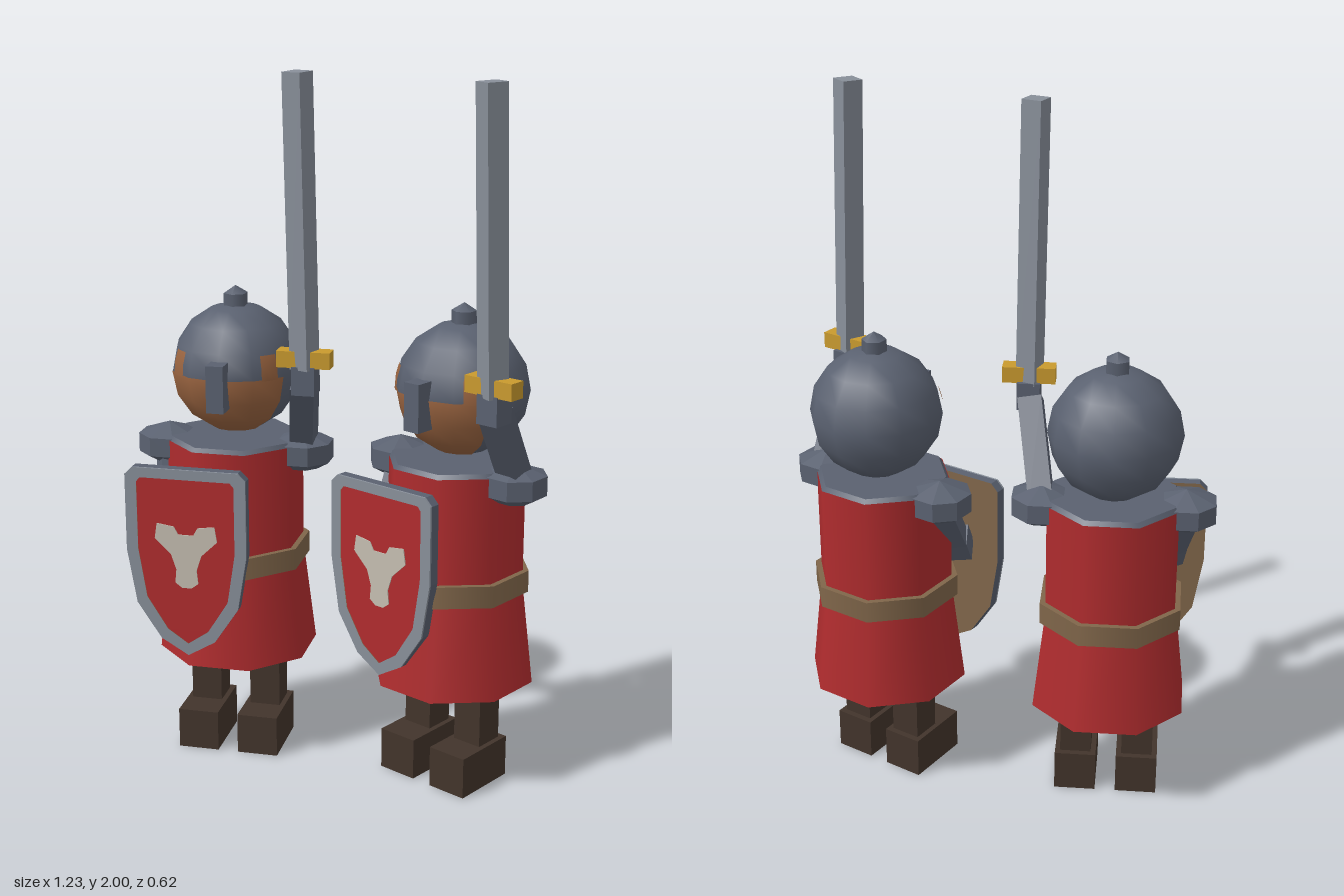
import * as THREE from 'three';

const mat = (name, color, side = THREE.FrontSide) => {
  const m = new THREE.MeshStandardMaterial({ color, side });
  m.name = name;
  return m;
};
const steel = mat('dark steel', 0x5a6170);
const bright = mat('bright steel', 0x888f99);
const red = mat('red cloth', 0xb02c2e, THREE.DoubleSide);
const leather = mat('dark leather', 0x42342b);
const tan = mat('tan leather', 0x80664a);
const skin = mat('skin', 0x9a6440);
const gold = mat('gold', 0xc99a2e);
const pale = mat('pale emblem', 0xc4bdb0);

const V = (x, y, z) => new THREE.Vector3(x, y, z);

function add(parent, name, geometry, material, x = 0, y = 0, z = 0) {
  const mesh = new THREE.Mesh(geometry, material);
  mesh.name = name;
  mesh.position.set(x, y, z);
  parent.add(mesh);
  return mesh;
}

const box = (parent, name, material, w, h, d, x, y, z) =>
  add(parent, name, new THREE.BoxGeometry(w, h, d), material, x, y, z);

// Box stretched from point a to point b
function bar(parent, name, material, a, b, w, d) {
  const dir = b.clone().sub(a);
  const mesh = box(parent, name, material, w, dir.length(), d, 0, 0, 0);
  mesh.position.copy(a).add(b).multiplyScalar(0.5);
  mesh.quaternion.setFromUnitVectors(V(0, 1, 0), dir.normalize());
  return mesh;
}

// Eight-sided tube with a flat side to the front
const octagon = (top, bottom, y0, y1, open) =>
  new THREE.CylinderGeometry(top, bottom, y1 - y0, 8, 1, open, Math.PI / 8).translate(0, (y0 + y1) / 2, 0);

// Symmetric outline from its right half, listed top to bottom
function mirrored(half) {
  const left = half.filter(([x]) => x > 0).map(([x, y]) => [-x, y]).reverse();
  return new THREE.Shape([...half, ...left].map(([x, y]) => new THREE.Vector2(x, y)));
}
const plate = (shape, depth) => new THREE.ExtrudeGeometry(shape, { depth, bevelEnabled: false });

function buildHead(knight) {
  const head = new THREE.Group();
  head.name = 'head';
  head.position.set(0, 1.143, -0.022);
  knight.add(head);
  const R = 0.187, deg = Math.PI / 180;
  add(head, 'helmet', new THREE.SphereGeometry(R, 12, 8), steel);
  // Face below the helmet edge, with narrow openings at both cheeks
  add(head, 'face', new THREE.SphereGeometry(R + 0.002, 4, 4, 30 * deg, 120 * deg, 90 * deg, 90 * deg), skin);
  for (const phi of [36, 128])
    add(head, 'cheek', new THREE.SphereGeometry(R + 0.001, 1, 1, phi * deg, 16 * deg, 69 * deg, 22 * deg), skin);
  box(head, 'noseGuard', steel, 0.05, 0.135, 0.06, 0, -0.015, 0.195);
  add(head, 'helmetKnob', new THREE.CylinderGeometry(0.035, 0.035, 0.06, 6), steel, 0, 0.185, 0);
  add(head, 'knobTip', new THREE.ConeGeometry(0.035, 0.022, 6), steel, 0, 0.226, 0);
}

function buildShield(knight) {
  const shield = new THREE.Group();
  shield.name = 'shield';
  shield.position.set(-0.086, 0, 0.193);
  knight.add(shield);
  const outer = mirrored([[0.155, 0.897], [0.177, 0.875], [0.177, 0.65], [0.15, 0.49], [0.08, 0.385], [0, 0.338]]);
  const inner = mirrored([[0.132, 0.868], [0.143, 0.855], [0.143, 0.655], [0.12, 0.51], [0.06, 0.415], [0, 0.374]]);
  const emblem = mirrored([[0.022, 0.705], [0.035, 0.728], [0.085, 0.735], [0.092, 0.69], [0.045, 0.645],
    [0.03, 0.6], [0.034, 0.56], [0.014, 0.545]]);
  add(shield, 'shieldBody', plate(outer, 0.028), [tan, steel]);
  const rim = outer.clone();
  rim.holes.push(new THREE.Path(inner.getPoints()));
  add(shield, 'shieldRim', plate(rim, 0.006), bright, 0, 0, 0.028);
  add(shield, 'shieldField', plate(inner, 0.004), red, 0, 0, 0.028);
  add(shield, 'shieldEmblem', plate(emblem, 0.003), pale, 0, 0, 0.032);
}

function buildSword(knight) {
  const sword = new THREE.Group();
  sword.name = 'sword';
  knight.add(sword);
  const blade = bar(sword, 'blade', bright, V(0.252, 1.2, 0.18), V(0.242, 2, 0.202), 0.058, 0.06);
  blade.rotateY(-0.38);
  box(sword, 'crossGuard', gold, 0.15, 0.046, 0.05, 0.253, 1.228, 0.18);
}

function createKnight(x, z, yaw) {
  const knight = new THREE.Group();
  knight.name = 'knight';
  knight.position.set(x, 0, z);
  knight.rotation.y = yaw;

  // Tunic
  add(knight, 'tunicSkirt', octagon(0.197, 0.233, 0.3, 0.6, true), red);
  add(knight, 'tunicTop', octagon(0.197, 0.197, 0.6, 0.937, true), red);
  add(knight, 'belt', octagon(0.214, 0.214, 0.572, 0.635, false), tan);
  add(knight, 'collar', octagon(0.185, 0.197, 0.932, 0.948, false), steel);

  // Legs, feet and shoulder pads
  const padProfile = [[0, 0.85], [0.05, 0.862], [0.09, 0.885], [0.09, 0.94], [0, 0.972]]
    .map(([r, y]) => new THREE.Vector2(r, y));
  for (const s of [-1, 1]) {
    box(knight, 'leg', leather, 0.09, 0.45, 0.09, s * 0.09, 0.325, 0);
    box(knight, 'foot', leather, 0.12, 0.12, 0.2, s * 0.09, 0.06, 0.037);
    const pad = add(knight, 'shoulderPad', new THREE.LatheGeometry(padProfile, 8, Math.PI / 8).toNonIndexed(), steel, s * 0.2, 0, 0);
    pad.geometry.computeVertexNormals();
  }

  // Raised sword arm and lowered shield arm
  bar(knight, 'swordArm', steel, V(0.2, 0.91, -0.01), V(0.248, 1.155, 0.165), 0.068, 0.068);
  box(knight, 'swordHand', steel, 0.065, 0.08, 0.065, 0.253, 1.168, 0.175);
  bar(knight, 'shieldArm', steel, V(-0.2, 0.9, 0), V(-0.165, 0.73, 0.12), 0.065, 0.065);
  bar(knight, 'shieldHand', steel, V(-0.165, 0.74, 0.12), V(-0.155, 0.67, 0.16), 0.07, 0.07);

  buildHead(knight);
  buildShield(knight);
  buildSword(knight);
  return knight;
}

export function createModel() {
  const model = new THREE.Group();
  model.name = 'knights';
  model.add(createKnight(-0.338, 0.014, 0.28), createKnight(0.32, -0.09, -0.22));
  return model;
}
